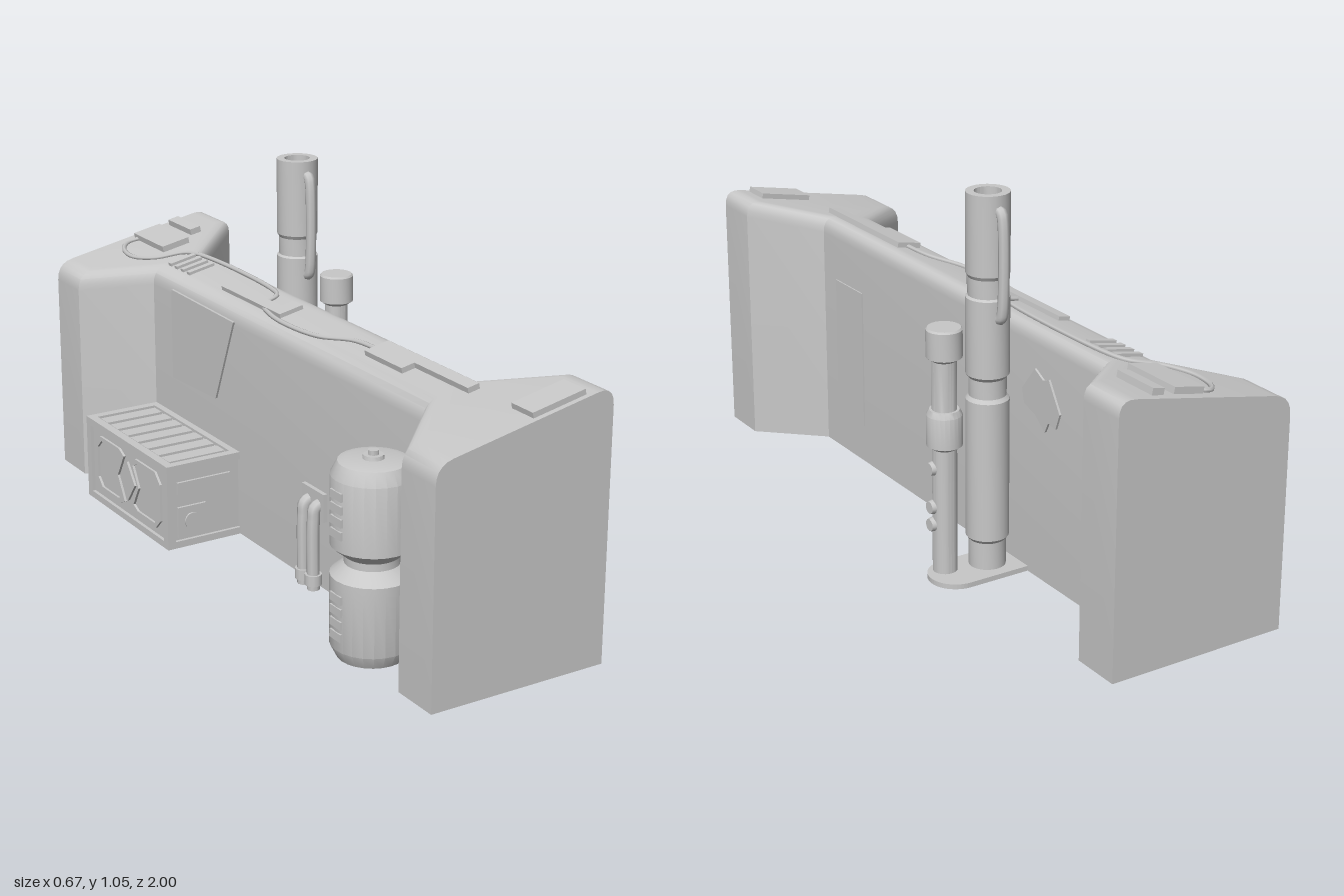
import * as THREE from 'three';
import { toCreasedNormals } from 'three/addons/utils/BufferGeometryUtils.js';

const SLOPE = 0.2, TOP = 0.69; // the wall top slants: y = TOP + SLOPE * x

export function createModel() {
  const root = new THREE.Group();
  const grey = new THREE.MeshStandardMaterial({ color: 0xc8c8c8, side: THREE.DoubleSide });
  grey.name = 'plain grey';
  const V3 = (x, y, z) => new THREE.Vector3(x, y, z);

  const add = (name, geo, parent = root, x = 0, y = 0, z = 0) => {
    const m = new THREE.Mesh(geo, grey);
    m.name = name;
    m.position.set(x, y, z);
    parent.add(m);
    return m;
  };
  const group = (name, x = 0, y = 0, z = 0) => {
    const g = new THREE.Group();
    g.name = name;
    g.position.set(x, y, z);
    root.add(g);
    return g;
  };
  // box given by its ranges on the three axes
  const box = (name, parent, x0, x1, y0, y1, z0, z1) =>
    add(name, new THREE.BoxGeometry(x1 - x0, y1 - y0, z1 - z0), parent, (x0 + x1) / 2, (y0 + y1) / 2, (z0 + z1) / 2);
  const lathe = (pts, n = 24) =>
    toCreasedNormals(new THREE.LatheGeometry(pts.map(p => new THREE.Vector2(p[0], p[1])), n), 0.5);
  const tube = (pts, r, n = 40, sides = 8) =>
    new THREE.TubeGeometry(new THREE.CatmullRomCurve3(pts, false, 'centripetal'), n, r, sides);
  const slab = (pts, depth) =>
    new THREE.ExtrudeGeometry(new THREE.Shape(pts.map(p => new THREE.Vector2(p[0], p[1]))), { depth, bevelEnabled: false });

  // ---- barrier wall: rounded cross-sections joined along z, open underneath
  const section = (xL, xR) => {
    const pts = [[xL, 0]];
    for (const [x, s] of [[xL, 1], [xR, -1]]) {
      const y = TOP + SLOPE * x, r = 0.05;
      const c = new THREE.QuadraticBezierCurve(
        new THREE.Vector2(x, y - r), new THREE.Vector2(x, y), new THREE.Vector2(x + s * r, y + s * r * SLOPE));
      const arc = c.getPoints(5).map(p => [p.x, p.y]);
      pts.push(...(s > 0 ? arc : arc.reverse()));
    }
    pts.push([xR, 0]);
    return pts;
  };
  const wide = section(-0.27, 0.25), narrow = section(-0.1, 0.08);
  const stations = [[-1, wide], [-0.86, wide], [-0.7, narrow], [0.7, narrow], [0.86, wide], [1, wide]];
  const n = wide.length, pos = [], idx = [];
  for (const [z, s] of stations) for (const [x, y] of s) pos.push(x, y, z);
  for (let i = 0; i < stations.length - 1; i++) {
    for (let j = 0; j < n - 1; j++) {
      const a = i * n + j, b = a + 1, c = a + n, d = c + 1;
      idx.push(a, c, b, b, c, d);
    }
  }
  const last = (stations.length - 1) * n;
  for (let k = 1; k < n - 1; k++) idx.push(0, k, k + 1, last, last + k + 1, last + k);
  const wall = new THREE.BufferGeometry();
  wall.setAttribute('position', new THREE.Float32BufferAttribute(pos, 3));
  wall.setIndex(idx);
  add('barrierWall', toCreasedNormals(wall, 0.6));

  // ---- wall face plates
  box('sidePanel', root, 0.078, 0.084, 0.115, 0.53, 0.475, 0.625);
  const chip = slab([[0.36, 0.52], [0.417, 0.59], [0.455, 0.57], [0.48, 0.58], [0.53, 0.5], [0.513, 0.455],
    [0.48, 0.46], [0.465, 0.43], [0.42, 0.465], [0.37, 0.48]], 0.008);
  add('impactMark', chip, root, 0.078).rotation.y = Math.PI / 2;
  const panel = slab([[-0.58, 0.365], [-0.325, 0.375], [-0.22, 0.63], [-0.58, 0.635]], 0.008);
  add('angledPanel', panel, root, -0.098).rotation.y = -Math.PI / 2;

  // ---- plates and cable on the slanted top
  const top = group('topDetails', 0, TOP, 0);
  top.rotation.z = Math.atan(SLOPE);
  for (const [x0, x1, z0, z1, h] of [
    [0.02, 0.18, 0.9, 0.985, 0.015], [0, 0.035, 0.35, 0.75, 0.015], [-0.04, 0, 0.35, 0.52, 0.015],
    [-0.055, -0.02, -0.37, -0.05, 0.012], [-0.02, 0.02, -0.1, -0.05, 0.012],
    [-0.02, 0.07, -0.97, -0.785, 0.018], [0.105, 0.14, -0.975, -0.835, 0.018],
  ]) box('topPlate', top, x0, x1, -0.005, h, z0, z1);
  for (let i = 0; i < 4; i++) {
    const z = -0.68 + i * 0.037;
    box('topRib', top, -0.06, 0.025, -0.004, 0.008, z, z + 0.017);
  }
  const cable = [[0, 0.36], [-0.01, 0.25], [-0.055, 0.15], [-0.07, 0], [-0.06, -0.1], [-0.035, -0.17], [0.02, -0.19],
    [0.037, -0.25], [0.037, -0.66], [0.015, -0.72], [-0.06, -0.76], [-0.1, -0.83], [-0.085, -0.92], [-0.05, -0.955], [-0.01, -0.95]];
  add('topCable', tube(cable.map(([x, z]) => V3(x, 0.003, z)), 0.007, 120, 6), top);

  // ---- tall pipe with two handles
  const tall = group('tallPipe', 0.157, 0, -0.305);
  add('tallPipeBody', lathe([[0.04, 0], [0.05, 0], [0.05, 0.09], [0.058, 0.1], [0.058, 0.49], [0.05, 0.5], [0.05, 0.55],
    [0.058, 0.56], [0.058, 0.77], [0.052, 0.775], [0.052, 0.825], [0.058, 0.835], [0.058, 1.05], [0.036, 1.05], [0.036, 0.9], [0, 0.9]]), tall);
  for (const s of [1, -1]) {
    add('pipeHandle', tube([V3(0, 0.72, s * 0.045), V3(0, 0.725, s * 0.062), V3(0, 0.75, s * 0.07),
      V3(0, 0.98, s * 0.07), V3(0, 1.005, s * 0.062), V3(0, 1.01, s * 0.045)], 0.015), tall);
  }

  // ---- short pipe with collars and studs
  const short = group('shortPipe', 0.274, 0, -0.28);
  add('shortPipeBody', lathe([[0.027, 0], [0.033, 0], [0.033, 0.365], [0.048, 0.375], [0.048, 0.46], [0.04, 0.475], [0.033, 0.475],
    [0.033, 0.61], [0.048, 0.62], [0.048, 0.695], [0.044, 0.7], [0, 0.7]]), short);
  for (const y of [0.31, 0.2, 0.15]) {
    add('pipeStud', new THREE.CylinderGeometry(0.017, 0.02, 0.015, 12), short, 0.036, y, 0.008).rotation.z = -Math.PI / 2;
  }

  // ---- foot plate under both pipes
  const foot = new THREE.Shape();
  foot.moveTo(0.08, 0.235);
  foot.lineTo(0.26, 0.235);
  foot.absarc(0.26, 0.31, 0.075, -Math.PI / 2, Math.PI / 2, false);
  foot.lineTo(0.08, 0.385);
  for (const [x, z, r] of [[0.157, 0.305, 0.045], [0.274, 0.28, 0.03]]) {
    const hole = new THREE.Path();
    hole.absarc(x, z, r, 0, Math.PI * 2, true);
    foot.holes.push(hole);
  }
  add('footPlate', new THREE.ExtrudeGeometry(foot, { depth: 0.014, bevelEnabled: false })).rotation.x = -Math.PI / 2;

  // ---- double-drum canister
  const can = group('canister', -0.207, 0, 0.645);
  add('canisterBody', lathe([[0.08, 0.03], [0.08, 0], [0.09, 0], [0.108, 0.035], [0.108, 0.225], [0.072, 0.255], [0.072, 0.275],
    [0.108, 0.305], [0.108, 0.49], [0.09, 0.525], [0.07, 0.53], [0, 0.53]]), can);
  add('canisterCap', lathe([[0.028, 0.53], [0.026, 0.54], [0.014, 0.54], [0.014, 0.552], [0, 0.552]], 16), can);
  for (const deg of [180, 260]) {
    const column = new THREE.Group();
    column.name = 'canisterColumn';
    column.rotation.y = -deg * Math.PI / 180;
    can.add(column);
    for (let i = 0; i < 4; i++) {
      const y = i * 0.034;
      box('canisterSlot', column, 0.1, 0.111, 0.34 + y, 0.362 + y, -0.025, 0.025);
      if (deg === 180) box('canisterSlot', column, 0.1, 0.111, 0.065 + y, 0.087 + y, -0.025, 0.025);
      else add('canisterStud', new THREE.SphereGeometry(0.012, 10, 8), column, 0.107, 0.075 + y, 0);
    }
  }

  // ---- paired conduits against the wall
  for (const z of [0.185, 0.235]) {
    add('conduit', tube([V3(-0.125, 0, z), V3(-0.125, 0.2, z), V3(-0.12, 0.235, z), V3(-0.09, 0.245, z)], 0.018), root);
    add('conduitFoot', new THREE.CylinderGeometry(0.024, 0.024, 0.03, 12), root, -0.125, 0.03, z);
  }
  box('conduitBracket', root, -0.112, -0.095, 0.2, 0.28, 0.155, 0.265);

  // ---- crate: open-bottomed shell, edge frame, slatted lid and face details
  const crate = group('crate');
  const shell = new THREE.BoxGeometry(0.225, 0.24, 0.48);
  const faces = Array.from(shell.index.array);
  faces.splice(18, 6);
  shell.setIndex(faces);
  shell.clearGroups();
  add('crateShell', shell, crate, -0.2125, 0.12, -0.45);
  for (const [y0, y1] of [[0, 0.02], [0.228, 0.25]]) {
    box('crateRail', crate, -0.335, -0.31, y0, y1, -0.7, -0.2);
    for (const z of [-0.7, -0.225]) box('crateEndRail', crate, -0.335, -0.1, y0, y1, z, z + 0.025);
  }
  box('crateBackRail', crate, -0.12, -0.1, 0.228, 0.25, -0.7, -0.2);
  for (const z of [-0.7, -0.225]) box('cratePost', crate, -0.335, -0.31, 0, 0.25, z, z + 0.025);
  for (let i = 0; i < 7; i++) {
    const z = -0.665 + i * 0.063;
    box('lidSlat', crate, -0.305, -0.125, 0.238, 0.247, z, z + 0.045);
  }
  const ring = new THREE.Shape([[-0.045, 0], [0, -0.06], [0.045, 0], [0, 0.06]].map(p => new THREE.Vector2(...p)));
  add('crateDiamond', new THREE.ExtrudeGeometry(ring, { depth: 0.008, bevelEnabled: false }), crate, -0.324, 0.125, -0.45)
    .rotation.y = -Math.PI / 2;
  // one bevelled window frame on each side of the diamond
  for (const s of [1, -1]) {
    const outline = k => [[0.05, -0.085], [0.17, -0.085], [0.2, -0.055], [0.2, 0.055], [0.17, 0.085], [0.05, 0.085], [0.02, 0.07], [0.06, 0], [0.02, -0.07]]
      .map(([z, y]) => new THREE.Vector2(s * (0.12 + (z - 0.12) * k), y * k));
    const frame = new THREE.Shape(outline(1));
    frame.holes.push(new THREE.Path(outline(0.85)));
    add('crateWindowFrame', new THREE.ExtrudeGeometry(frame, { depth: 0.008, bevelEnabled: false }), crate, -0.324, 0.125, -0.45)
      .rotation.y = -Math.PI / 2;
  }
  for (const s of [1, -1]) {
    const z = -0.45 + s * 0.243;
    box('crateEndGrip', crate, -0.3, -0.13, 0.16, 0.195, z - 0.005, z + 0.005);
    box('crateLatchPlate', crate, -0.3, -0.21, 0.03, 0.12, z - 0.005, z + 0.005);
    add('crateLatchKnob', new THREE.CylinderGeometry(0.025, 0.025, 0.012, 14), crate, -0.255, 0.075, z + s * 0.004).rotation.x = Math.PI / 2;
  }
  return root;
}
